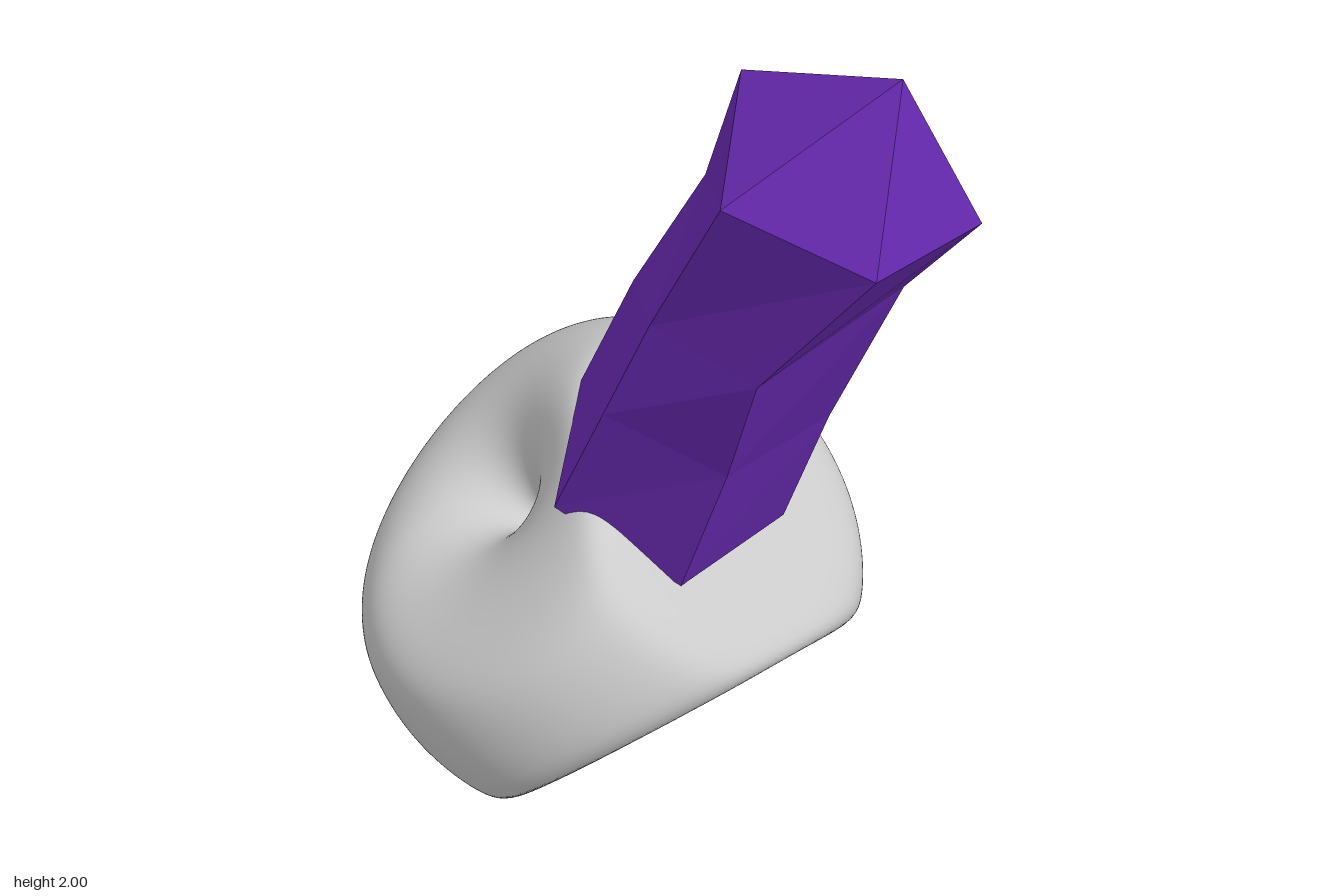
import * as THREE from 'three';
import { mergeVertices } from 'three/addons/utils/BufferGeometryUtils.js';

const CENTRE = new THREE.Vector3(0, 0.53, -0.15);
const dir = (x, y, z) => new THREE.Vector3(x, y, z).normalize();

// Flattened faces worn into the round stone: direction, distance
const FACES = [
  { n: dir(0, -0.67, 0.74), d: 0.345 },
  { n: dir(0.25, 0.74, 0.62), d: 0.39 },
  { n: dir(-0.75, 0.65, 0), d: 0.43 },
];

// Pinched hollows: direction, depth, angular width, sharpness
const HOLLOWS = [
  { n: dir(0.08, -0.6, 0.8), depth: 0.12, width: 0.85, power: 1.7 },
  { n: dir(-0.52, 0.65, -0.4), depth: 0.36, width: 1.1, power: 2.1 },
];

function stoneRadius(v) {
  // Soft minimum of the ball and the flattened faces
  const p = 22;
  let sum = Math.pow(0.543, -p);
  for (const { n, d } of FACES) {
    const c = v.dot(n);
    if (c > 0.05) sum += Math.pow(d / c, -p);
  }
  let r = Math.pow(sum, -1 / p);
  for (const { n, depth, width, power } of HOLLOWS) {
    const a = Math.acos(THREE.MathUtils.clamp(v.dot(n), -1, 1)) / width;
    if (a < 1) r -= depth * Math.pow(1 - a, power);
  }
  return r;
}

function makeStone() {
  let geo = new THREE.IcosahedronGeometry(1, 42);
  geo.deleteAttribute('normal');
  geo.deleteAttribute('uv');
  geo = mergeVertices(geo, 1e-5);
  const pos = geo.attributes.position;
  const v = new THREE.Vector3();
  for (let i = 0; i < pos.count; i++) {
    v.fromBufferAttribute(pos, i).normalize();
    v.multiplyScalar(stoneRadius(v)).add(CENTRE);
    pos.setXYZ(i, v.x, Math.max(0, v.y), v.z);
  }
  geo.computeVertexNormals();
  const mesh = new THREE.Mesh(geo, new THREE.MeshStandardMaterial({ color: 0xcccccc }));
  mesh.name = 'stone';
  return mesh;
}

// Five-sided cross-sections of the crystal, from base to shoulder
const RINGS = [
  [[-0.11, 0.78, 0.23], [0.18, 0.8, 0.2], [0.22, 0.94, -0.08], [-0.04, 1.02, -0.18], [-0.245, 0.9, 0]],
  [[-0.1, 1.11, 0.35], [0.17, 1.12, 0.33], [0.23, 1.25, 0.09], [-0.03, 1.33, -0.02], [-0.235, 1.2, 0.15]],
  [[-0.13, 1.38, 0.46], [0.165, 1.5, 0.51], [0.24, 1.54, 0.24], [0.02, 1.61, 0.13], [-0.22, 1.45, 0.27]],
  [[-0.08, 1.69, 0.69], [0.19, 1.69, 0.66], [0.23, 1.83, 0.4], [-0.02, 1.89, 0.27], [-0.23, 1.78, 0.47]],
];
const TIP = [0.02, 2, 0.62];
const ROOT = [0, 0.87, 0];

function makeCrystal() {
  const out = [];
  const tri = (a, b, c) => out.push(...a, ...b, ...c);
  const top = RINGS.length - 1;
  for (let i = 0; i < 5; i++) {
    const j = (i + 1) % 5;
    tri(ROOT, RINGS[0][j], RINGS[0][i]);
    for (let r = 0; r < top; r++) {
      const a = RINGS[r], b = RINGS[r + 1];
      tri(a[i], a[j], b[j]);
      tri(a[i], b[j], b[i]);
    }
    tri(RINGS[top][i], RINGS[top][j], TIP);
  }
  const geo = new THREE.BufferGeometry();
  geo.setAttribute('position', new THREE.Float32BufferAttribute(out, 3));
  geo.computeVertexNormals();
  const mesh = new THREE.Mesh(geo, new THREE.MeshStandardMaterial({ color: 0x6a2bb5, flatShading: true }));
  mesh.name = 'crystal';
  return mesh;
}

export function createModel() {
  const group = new THREE.Group();
  group.name = 'crystalOnStone';
  group.add(makeStone(), makeCrystal());
  return group;
}
